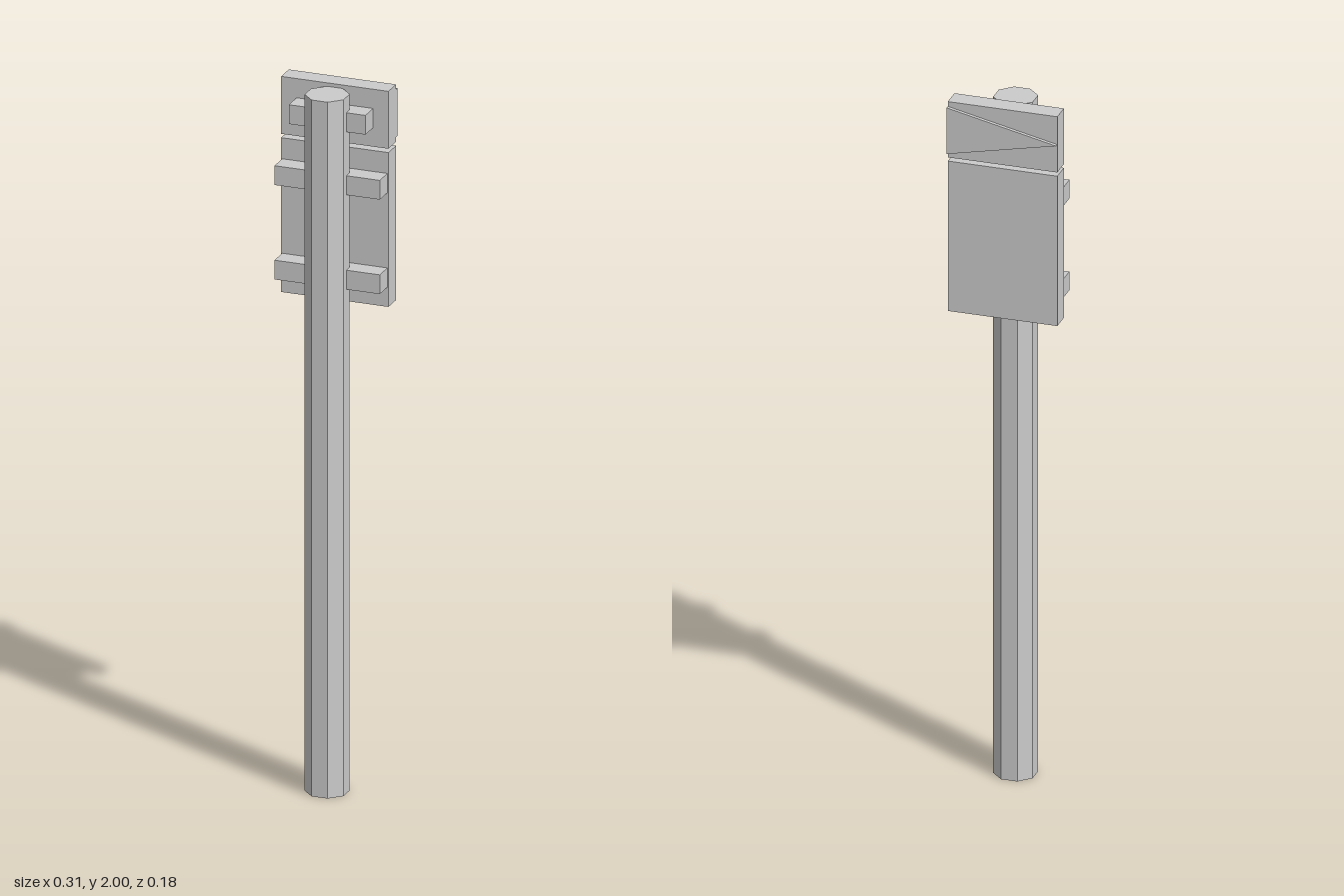
import * as THREE from 'three';

export function createModel() {
  const model = new THREE.Group();
  model.name = 'signpost';
  const grey = new THREE.MeshStandardMaterial({ color: 0xcccccc, flatShading: true });

  function add(name, geometry) {
    const mesh = new THREE.Mesh(geometry, grey);
    mesh.name = name;
    model.add(mesh);
    return mesh;
  }

  // Box given by half width and its y and z ranges, centred on x = 0
  function slab(name, halfWidth, y0, y1, z0, z1) {
    const mesh = add(name, new THREE.BoxGeometry(2 * halfWidth, y1 - y0, z1 - z0));
    mesh.position.set(0, (y0 + y1) / 2, (z0 + z1) / 2);
  }

  const boardBack = -0.08, boardFront = -0.024, bracketFront = 0.032, halfBoard = 0.154;

  // Octagonal pole with flats facing front and sides
  const radius = 0.0555 / Math.cos(Math.PI / 8);
  const pole = add('pole', new THREE.CylinderGeometry(radius, radius, 1.99, 8).rotateY(Math.PI / 8));
  pole.position.set(0, 0.995, 0.0315);

  // Two boards fixed behind the pole
  slab('mainBoard', halfBoard, 1.384, 1.825, boardBack, boardFront);
  slab('topBoard', halfBoard, 1.836, 2, boardBack, boardFront);

  // Cross bars that hold the boards
  slab('topBracket', 0.11, 1.89, 1.945, boardFront, bracketFront);
  slab('upperBracket', 0.151, 1.71, 1.765, boardFront, bracketFront);
  slab('lowerBracket', 0.151, 1.44, 1.495, boardFront, bracketFront);

  // Raised triangular arrow on the back of the top board
  const arrow = new THREE.Shape([
    new THREE.Vector2(halfBoard, 1.85),
    new THREE.Vector2(halfBoard, 1.986),
    new THREE.Vector2(-halfBoard, 1.918),
  ]);
  add('arrow', new THREE.ExtrudeGeometry(arrow, { depth: 0.01, bevelEnabled: false }))
    .position.z = boardBack - 0.01;

  return model;
}
